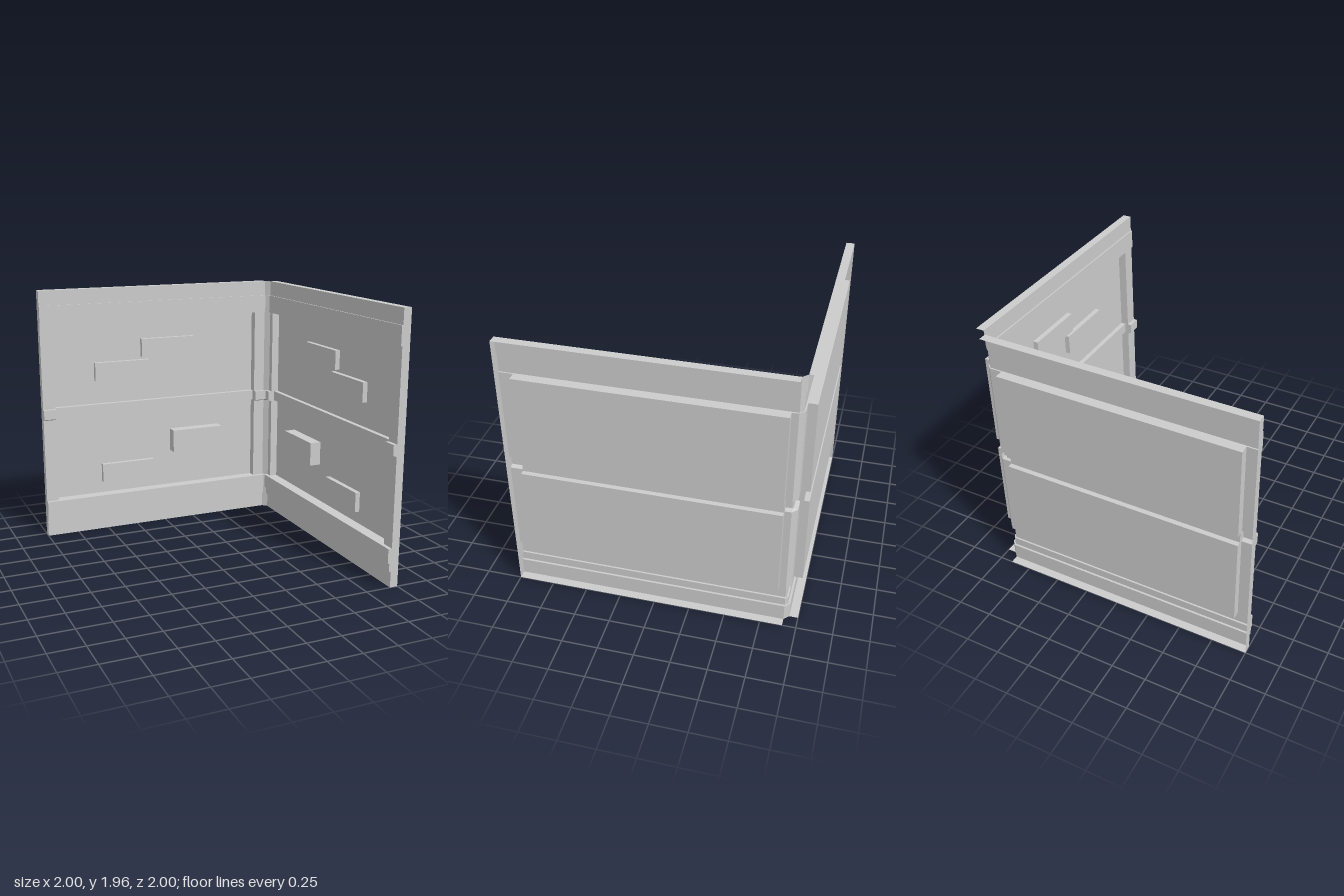
import * as THREE from 'three';

// Profiles as [height, depth inward from the outer plane]
const LOWER = [[0, 0], [0, 0.06], [0.12, 0.06], [0.12, 0.075], [0.18, 0.075], [0.18, 0.088], [0.29, 0.088]];
const UPPER = [[1.7, 0.07], [1.84, 0.07], [1.84, 0.06], [1.955, 0.06], [1.955, 0]];
const POST = [[0.29, 0.06], [0.948, 0.06], [0.96, 0.088], [1.035, 0.088], [1.035, 0.06], [1.7, 0.06]];
const PANEL = [[0.29, 0], [0.957, 0], [0.957, 0.035], [1.035, 0.035], [1.035, 0], [1.7, 0]];
const postProfile = [...LOWER, ...POST, ...UPPER];
const panelProfile = [...LOWER, ...PANEL, ...UPPER];
const CORNER = 0.905;

// Bricks as [start, end, bottom, top, depth] along the back wall
const BRICKS = [
  [-0.175, 0.275, 1.39, 1.535, 0.037],
  [-0.565, -0.115, 1.22, 1.368, 0.037],
  [0.07, 0.5, 0.585, 0.768, 0.088],
  [-0.525, -0.09, 0.383, 0.533, 0.037],
];

const material = new THREE.MeshStandardMaterial({ color: 0xcccccc, side: THREE.DoubleSide, flatShading: true });

function add(group, name, geometry) {
  const mesh = new THREE.Mesh(geometry, material);
  mesh.name = name;
  group.add(mesh);
  return mesh;
}

// Sheet joining two matching rows of points
function sheet(a, b) {
  const pos = [];
  for (let i = 0; i < a.length - 1; i++) {
    pos.push(...a[i], ...b[i], ...b[i + 1], ...a[i], ...b[i + 1], ...a[i + 1]);
  }
  const g = new THREE.BufferGeometry();
  g.setAttribute('position', new THREE.Float32BufferAttribute(pos, 3));
  g.computeVertexNormals();
  return g;
}

// Profile swept straight along x
function sweep(profile, x0, x1) {
  const row = (x) => profile.map(([y, d]) => [x, y, d - 1]);
  return sheet(row(x0), row(x1));
}

// Flat closing face across the wall at x
function crossFace(points, x) {
  const shape = new THREE.Shape(points.map(([y, d]) => new THREE.Vector2(d, y)));
  return new THREE.ShapeGeometry(shape).rotateY(-Math.PI / 2).translate(x, 0, -1);
}

function createWall(name, start, end, panelStart, panelEnd, outerEnd, bricks) {
  const wall = new THREE.Group();
  wall.name = name;
  add(wall, 'leftPost', sweep(postProfile, start, panelStart));
  add(wall, 'panels', sweep(panelProfile, panelStart, panelEnd));
  add(wall, 'rightPost', sweep(postProfile, panelEnd, end));
  // Sides of the recessed panels
  for (const x of [panelStart, panelEnd]) {
    add(wall, 'panelSide', crossFace([...POST, ...[...PANEL].reverse()], x));
  }
  // Flange closing the free end
  add(wall, 'endFlange', crossFace(postProfile, outerEnd));
  for (const [x0, x1, y0, y1, depth] of bricks) {
    const brick = add(wall, 'brick', new THREE.BoxGeometry(x1 - x0, y1 - y0, depth));
    brick.position.set((x0 + x1) / 2, (y0 + y1) / 2, -1 + depth / 2);
  }
  return wall;
}

export function createModel() {
  const model = new THREE.Group();
  model.name = 'wallCorner';

  model.add(createWall('backWall', -1, CORNER, -0.905, 0.815, -1, BRICKS));

  // The side wall repeats the bricks in mirror image
  const mirrored = BRICKS.map(([a, b, ...rest]) => [-b - 0.05, -a - 0.05, ...rest]);
  const side = createWall('sideWall', -CORNER, 1, -0.86, 0.9, 1, mirrored);
  side.rotation.y = -Math.PI / 2;
  model.add(side);

  // Bevelled strip joining the two walls
  const inner = postProfile.slice(1, -1);
  add(model, 'cornerStrip', sheet(
    inner.map(([y, d]) => [CORNER, y, d - 1]),
    inner.map(([y, d]) => [1 - d, y, -CORNER]),
  ));
  return model;
}
